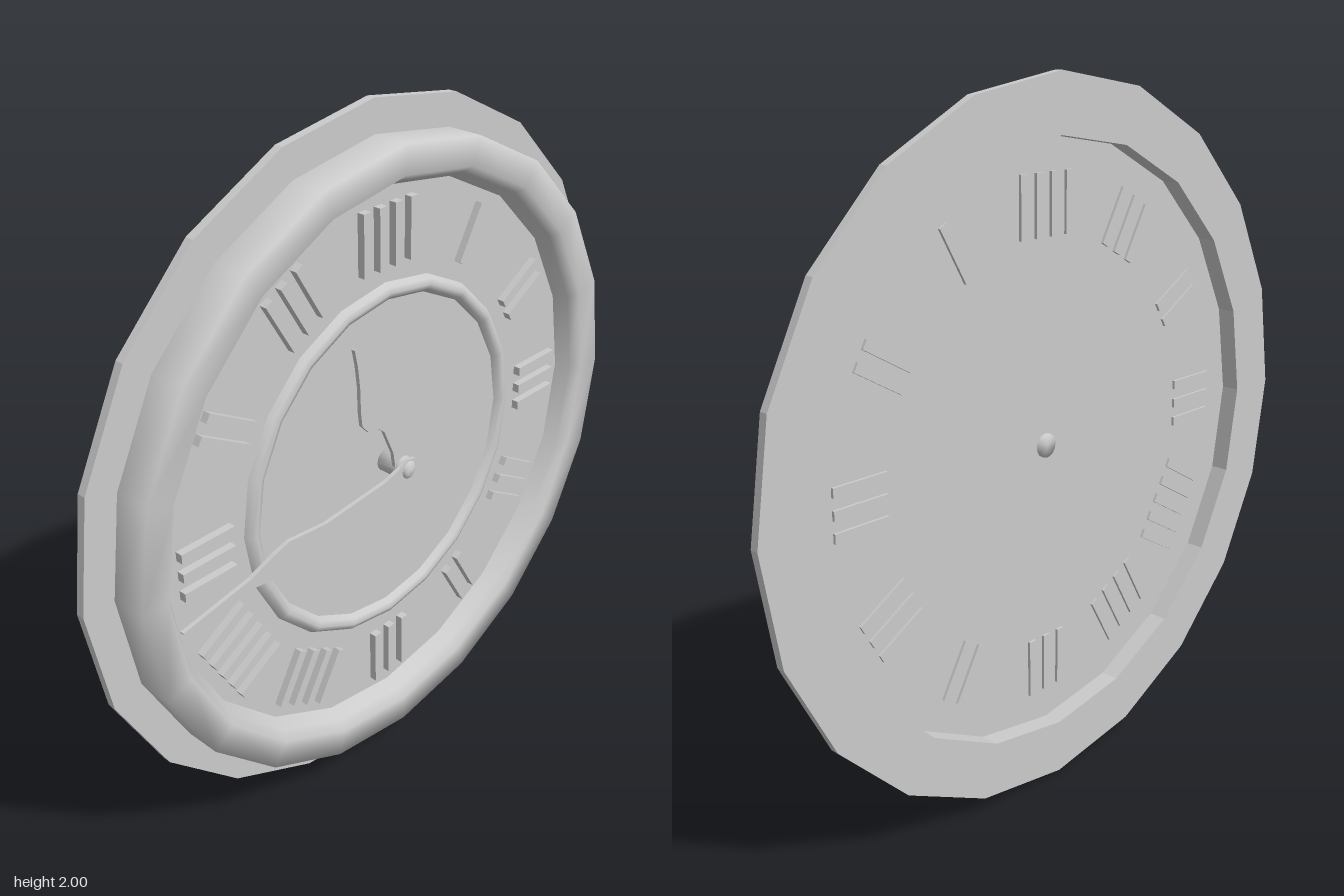
import * as THREE from 'three';

const SIDES = 20;
const grey = new THREE.MeshStandardMaterial({ color: 0xcccccc });
const thin = new THREE.MeshStandardMaterial({ color: 0xcccccc, side: THREE.DoubleSide });
const faceted = new THREE.MeshStandardMaterial({ color: 0xcccccc, flatShading: true });

// The clock is made facing +z around the origin, then turned to face +x.
export function createModel() {
  const model = new THREE.Group();
  const clock = new THREE.Group();
  clock.name = 'wallClock';

  const add = (name, geometry, material, parent = clock) => {
    const mesh = new THREE.Mesh(geometry, material);
    mesh.name = name;
    parent.add(mesh);
    return mesh;
  };
  // Revolve [radius, depth] pairs around the z axis
  const turned = (pairs, sides = SIDES) =>
    new THREE.LatheGeometry(pairs.map(([r, z]) => new THREE.Vector2(r, z)), sides).rotateX(Math.PI / 2);

  // Thin back flange with an open, faceted inner wall
  add('backFlange', turned([[0.84, -0.025], [0.84, -0.08], [1, -0.08], [1, -0.055], [0.9, -0.055]]), faceted);

  // Raised frame, softly shaded, dropping to the dial
  add('frame', turned([[0.91, -0.055], [0.91, 0.05], [0.83, 0.05], [0.81, 0.02], [0.79, -0.02]]), grey);

  // Dial sheet and the raised ring on it
  add('dial', turned([[0.845, -0.022], [0, -0.022]]), thin);
  add('innerRing', turned([[0.53, -0.022], [0.52, -0.006], [0.505, 0], [0.49, -0.006], [0.48, -0.022]]), grey);

  // Hour markers: groups of plain radial bars, 1 to 12 o'clock
  const bars = [1, 2, 3, 3, 2, 3, 4, 5, 3, 2, 3, 4];
  const barGeometry = new THREE.BoxGeometry(0.026, 0.17, 0.03);
  bars.forEach((count, i) => {
    const marker = new THREE.Group();
    marker.name = 'hourMarker' + (i + 1);
    marker.rotation.z = -(i + 1) * Math.PI / 6;
    for (let k = 0; k < count; k++) {
      add('markerBar', barGeometry, grey, marker).position.set((k - (count - 1) / 2) * 0.058, 0.66, -0.015);
    }
    clock.add(marker);
  });

  // Hands: half outlines [half width, distance], mirrored and extruded
  const hand = (name, half, z, angle) => {
    const mirrored = half.map(([x, y]) => [-x, y]).reverse();
    const shape = new THREE.Shape([...half, ...mirrored].map(([x, y]) => new THREE.Vector2(x, y)));
    const geometry = new THREE.ExtrudeGeometry(shape, { depth: 0.012, bevelEnabled: false });
    const mesh = add(name, geometry, grey);
    mesh.position.z = z;
    mesh.rotation.z = angle;
  };
  hand('hourHand', [
    [0.022, -0.03], [0.032, 0], [0.022, 0.03], [0.012, 0.07], [0.013, 0.16], [0.025, 0.185],
    [0.058, 0.205], [0.07, 0.24], [0.058, 0.28], [0.03, 0.35], [0.012, 0.41], [0.002, 0.46],
  ], 0.03, 0.405);
  hand('minuteHand', [
    [0.022, -0.03], [0.032, 0], [0.022, 0.03], [0.012, 0.09], [0.018, 0.32], [0.032, 0.39],
    [0.045, 0.45], [0.038, 0.5], [0.016, 0.59], [0.009, 0.7], [0.002, 0.815],
  ], 0.052, Math.PI / 2 + 0.117);

  // Centre pivot, with a rounded cap holding the hands
  add('pivot', turned([[0, -0.03], [0.034, -0.03], [0.034, 0.045], [0.026, 0.05], [0.026, 0.066], [0.016, 0.073], [0, 0.075]], 16), grey);

  clock.rotation.y = Math.PI / 2;
  clock.position.y = 1;
  model.add(clock);
  return model;
}
